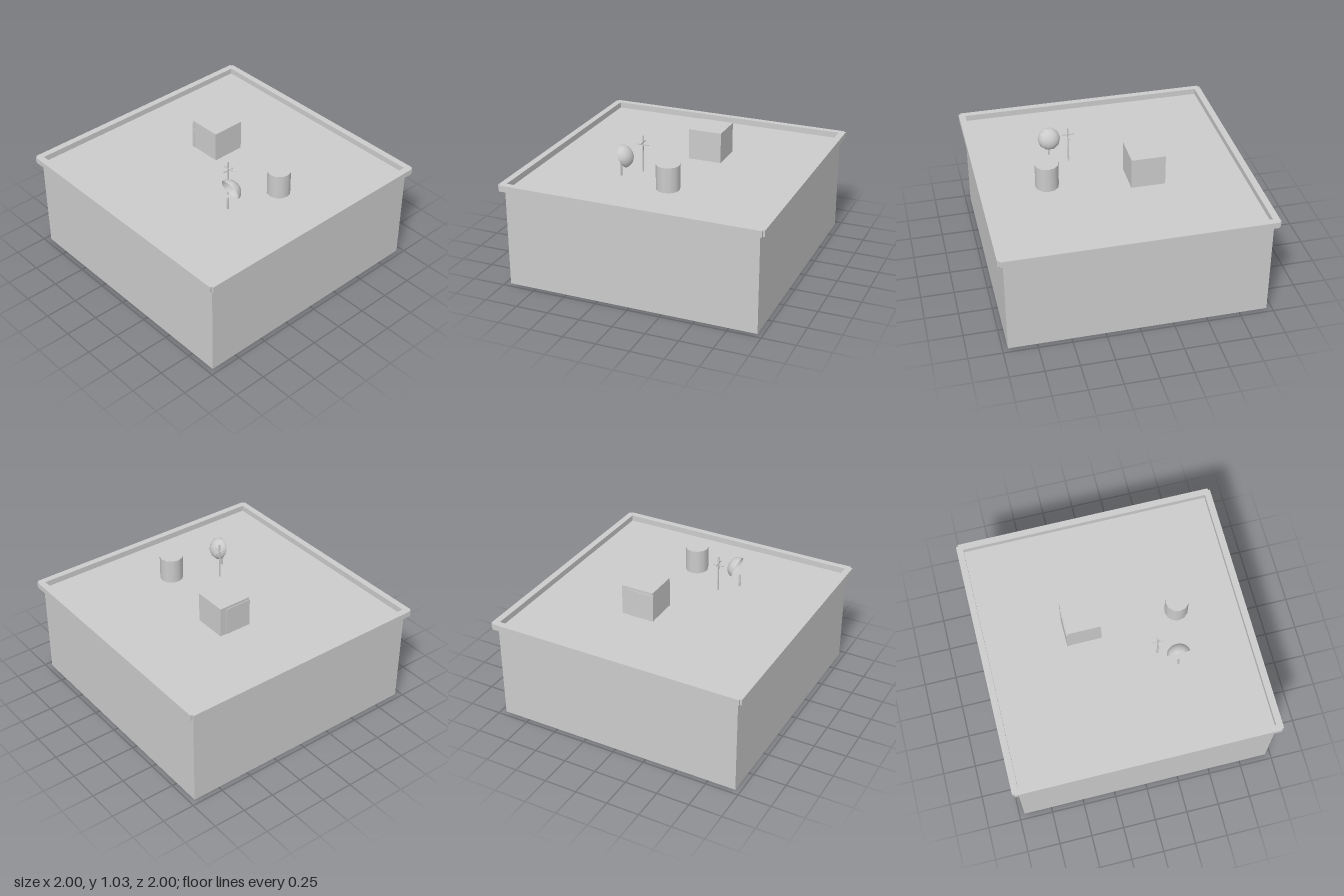
import * as THREE from 'three';

const material = new THREE.MeshStandardMaterial({ color: 0xcccccc });
const thin = new THREE.MeshStandardMaterial({ color: 0xcccccc, side: THREE.DoubleSide });
const DECK = 0.75; // height of the flat roof

export function createModel() {
  const model = new THREE.Group();

  const add = (name, geometry, x, y, z, mat = material) => {
    const mesh = new THREE.Mesh(geometry, mat);
    mesh.name = name;
    mesh.position.set(x, y, z);
    model.add(mesh);
    return mesh;
  };
  // Box standing on a given height
  const block = (name, w, h, d, x, base, z) =>
    add(name, new THREE.BoxGeometry(w, h, d), x, base + h / 2, z);

  // Building body with flat roof
  block('building', 1.92, DECK, 1.92, 0, 0, 0);

  // Parapet: square ring with a small notch at each outer corner
  const a = 1, n = 0.985, i = 0.95;
  const points = [];
  for (let k = 0; k < 4; k++) {
    for (const [x, y] of [[a, -n], [a, n], [n, n]]) {
      points.push(new THREE.Vector2(x, y).rotateAround(new THREE.Vector2(), k * Math.PI / 2));
    }
  }
  const ring = new THREE.Shape(points);
  ring.holes.push(new THREE.Path([[-i, -i], [-i, i], [i, i], [i, -i]].map(p => new THREE.Vector2(...p))));
  const parapet = new THREE.ExtrudeGeometry(ring, { depth: 0.046, bevelEnabled: false });
  parapet.rotateX(-Math.PI / 2);
  add('parapet', parapet, 0, DECK, 0);

  // Roof hut with a raised door panel on its right side
  block('roofHut', 0.256, 0.235, 0.256, -0.23, DECK, -0.148);
  block('hutDoor', 0.022, 0.215, 0.208, -0.352, DECK, -0.12);

  // Water tank
  add('waterTank', new THREE.CylinderGeometry(0.088, 0.088, 0.19, 12), 0.492, DECK + 0.095, -0.102);

  // Aerial: mast with two crossed bars
  block('aerialMast', 0.01, 0.285, 0.01, 0.27, DECK, 0.193);
  block('aerialBarX', 0.09, 0.008, 0.008, 0.27, 0.977, 0.193);
  block('aerialBarZ', 0.008, 0.008, 0.09, 0.27, 0.959, 0.193);

  // Dish: open shallow bowl tilted to the front, with its post
  const bowl = new THREE.SphereGeometry(0.086, 10, 6, 0, Math.PI * 2, 0, Math.PI / 2);
  bowl.scale(1, 0.8, 1);
  add('dish', bowl, 0.399, 0.905, 0.288, thin).rotation.x = -1.2;
  block('dishPost', 0.012, 0.1, 0.012, 0.398, DECK, 0.311);

  return model;
}
